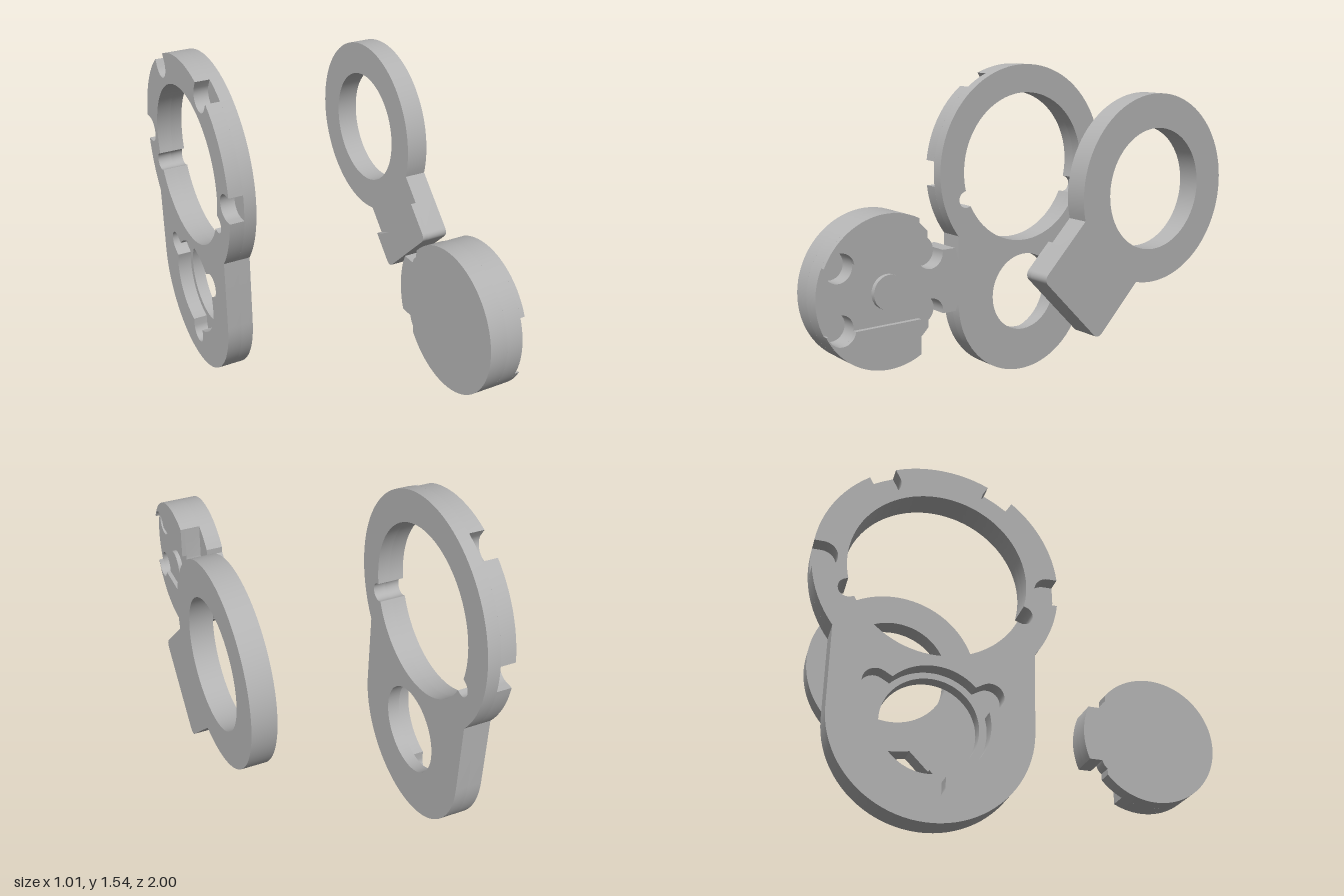
import * as THREE from 'three';
import { toCreasedNormals } from 'three/addons/utils/BufferGeometryUtils.js';

const V = (x, y) => new THREE.Vector2(x, y);
const RAD = Math.PI / 180;

// points on an arc, angles in degrees
function arc(cx, cy, r, a0, a1) {
  const n = Math.max(4, Math.ceil(Math.abs(a1 - a0) / (r > 0.15 ? 4 : 12)));
  return Array.from({ length: n + 1 }, (_, i) => {
    const t = (a0 + (a1 - a0) * i / n) * RAD;
    return V(cx + r * Math.cos(t), cy + r * Math.sin(t));
  });
}

// counter-clockwise arc with round notches: side -1 bites inward, +1 bulges outward
function notchedArc(cx, cy, R, from, to, notches, dist, r, side) {
  const half = Math.asin(r / R) / RAD;
  const pts = [];
  let a = from;
  for (const n of notches) {
    pts.push(...arc(cx, cy, R, a, n - half));
    const x = cx + dist * Math.cos(n * RAD), y = cy + dist * Math.sin(n * RAD);
    pts.push(...arc(x, y, r, n - 90, n - 90 + side * 180));
    a = n + half;
  }
  pts.push(...arc(cx, cy, R, a, to));
  return pts;
}

// extrude an outline drawn in (-z, y) along x from x0 to x1
function slab(points, holes, x0, x1) {
  const shape = new THREE.Shape(points);
  shape.holes = holes.map((h) => new THREE.Path(h));
  let g = new THREE.ExtrudeGeometry(shape, { depth: x1 - x0, bevelEnabled: false });
  g.scale(100, 100, 100);
  g = toCreasedNormals(g, 0.5);
  g.scale(0.01, 0.01, 0.01);
  return g.translate(0, 0, x0).rotateY(Math.PI / 2);
}

export function createModel() {
  const model = new THREE.Group();
  const grey = new THREE.MeshStandardMaterial({ color: 0xb5b5b5 });
  grey.name = 'grey';

  const group = (name) => {
    const g = new THREE.Group();
    g.name = name;
    model.add(g);
    return g;
  };
  const add = (parent, name, points, holes, x0, x1) => {
    const m = new THREE.Mesh(slab(points, holes, x0, x1), grey);
    m.name = name;
    parent.add(m);
  };

  // Housing plate: two bores, rim notches on its back layer only
  const plate = group('housingPlate');
  const cx = 0.5, cy = 1.036, ly = 0.4;
  const plateOutline = (notches) => [
    ...notchedArc(cx, cy, 0.5, -36.87, 216.87, notches, 0.46, 0.06, -1),
    ...arc(cx, ly, 0.4, 180, 360),
  ];
  const mainBore = notchedArc(cx, cy, 0.365, -90, 269, [-20, 200], 0.375, 0.04, 1);
  const lobedBore = notchedArc(cx, ly, 0.225, -45, 225, [30, 150], 0.255, 0.055, 1)
    .concat(notchedArc(cx, ly, 0.225, 226, 314, [270], 0.255, 0.055, 1));
  add(plate, 'notchedPlateLayer', plateOutline([0, 60, 120, 180]), [mainBore, lobedBore], -0.505, -0.44);
  add(plate, 'plainPlateLayer', plateOutline([]), [mainBore, arc(cx, ly + 0.005, 0.195, 0, 356)], -0.44, -0.385);

  // Ring with a diagonal tab
  const ring = group('tabbedRing');
  const dir = 225, halfWidth = 0.21, reach = 0.652, corner = 0.03;
  const local = (u, v) => V(u, v).rotateAround(V(0, 0), dir * RAD).add(V(cx, cy));
  const tabEnd = [
    ...arc(reach - corner, -halfWidth + corner, corner, -90, 0),
    ...arc(reach - corner, halfWidth - corner, corner, 0, 90),
  ].map((p) => local(p.x, p.y));
  const join = Math.asin(halfWidth / 0.405) / RAD;
  add(ring, 'ringBody', [...arc(cx, cy, 0.405, dir + join, dir + 360 - join), ...tabEnd],
    [arc(cx, cy, 0.26, 0, 356)], 0.405, 0.503);
  const lip = Math.asin(halfWidth / 0.52) / RAD;
  add(ring, 'tabLip', [...arc(cx, cy, 0.52, dir + lip, dir - lip), ...tabEnd], [], 0.38, 0.405);

  // Round block with a channel, a side tab and four pockets
  const block = group('channelBlock');
  const bx = -0.69, by = 0.72, R = 0.307, h = 0.13;
  const hx = -0.49, hy = 0.12, hr = 0.06;          // pockets beside the tab
  const fx = -0.9;                                  // pockets on the far side
  const mirror = (pts) => pts.map((p) => V(p.x, 2 * by - p.y)).reverse();
  const tab = Math.asin(h / 0.345) / RAD;
  const tabTip = arc(bx, by, 0.345, -tab, tab);

  // base layer, shaved flat either side of the tab
  const shave = Math.acos(0.235 / R) / RAD;
  const bite = arc(hx, by + hy, hr, 9.6, 54.3);
  add(block, 'blockBase',
    [...tabTip, ...bite, ...arc(bx, by, R, shave, 360 - shave), ...mirror(bite)], [], 0.115, 0.19);

  // channel layer, stepped back beside the tab
  const step = Math.acos(0.14 / R) / RAD;
  const scoop = arc(hx, by + hy, hr, 9.6, -180);
  add(block, 'blockChannel',
    [...tabTip, ...scoop, ...arc(bx, by, R, step, 360 - step), ...mirror(scoop)],
    [1, -1].map((s) => arc(fx, by + s * hy, hr, 0, 348)), 0.19, 0.26);

  // raised segments above and below the channel
  const end = 180 - Math.asin(h / R) / RAD;
  const segment = [V(-0.55, by + h), ...arc(bx, by, R, step, end), ...arc(fx, by + hy, hr, 170.4, 9.6)];
  add(block, 'upperSegment', segment, [], 0.26, 0.28);
  add(block, 'lowerSegment', mirror(segment), [], 0.26, 0.28);
  add(block, 'centreBoss', arc(bx, by, 0.07, 0, 348), [], 0.26, 0.28);

  return model;
}
